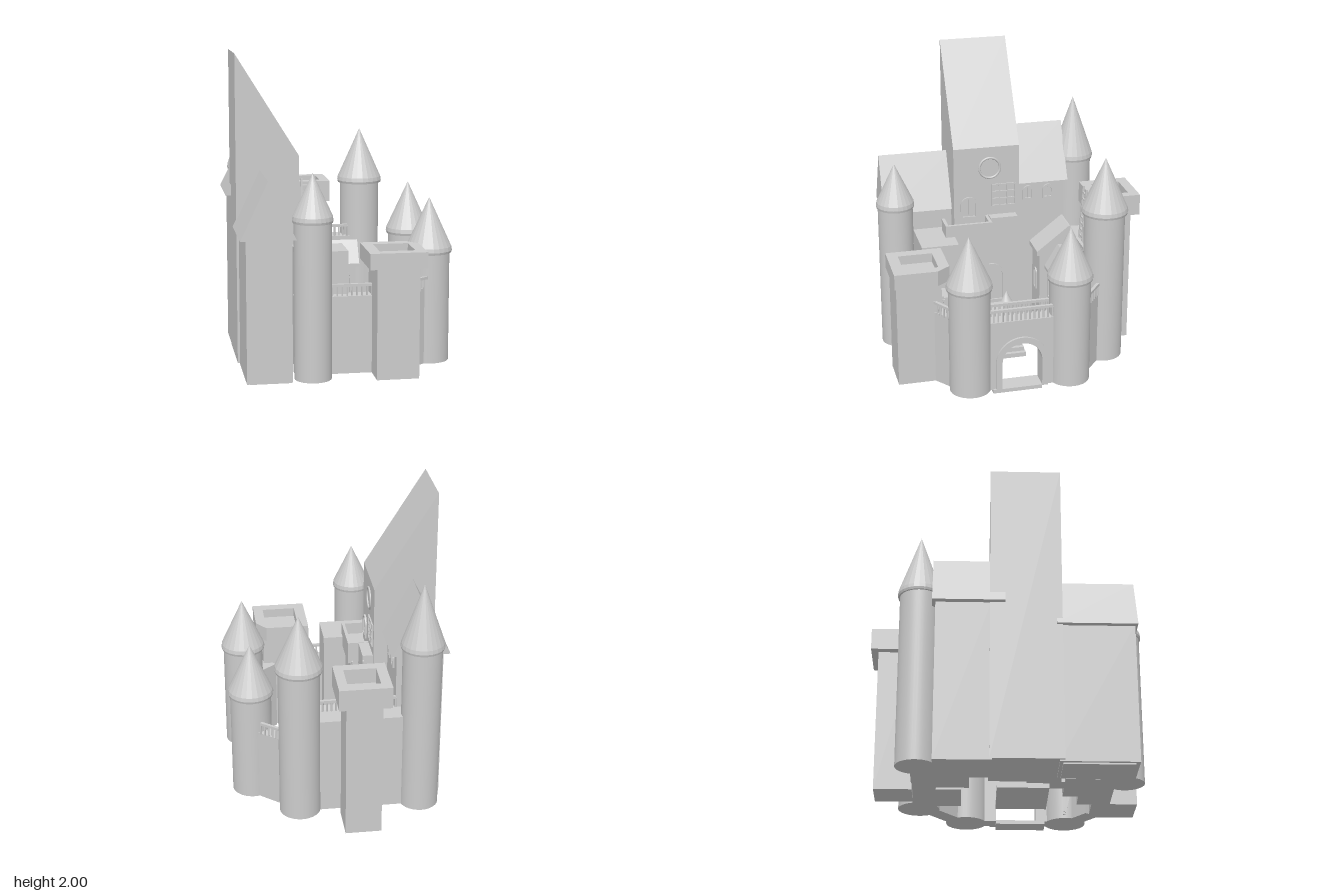
import * as THREE from 'three';

const mat = new THREE.MeshStandardMaterial({ color: 0xcccccc, side: THREE.DoubleSide });

export function createModel() {
  const castle = new THREE.Group();
  castle.name = 'castle';

  const add = (name, geo, parent = castle) => {
    const m = new THREE.Mesh(geo, mat);
    m.name = name;
    parent.add(m);
    return m;
  };
  // box from its limits
  const box = (name, x0, x1, y0, y1, z0, z1, parent) => {
    const m = add(name, new THREE.BoxGeometry(x1 - x0, y1 - y0, z1 - z0), parent);
    m.position.set((x0 + x1) / 2, (y0 + y1) / 2, (z0 + z1) / 2);
    return m;
  };
  const poly = pts => new THREE.Shape(pts.map(p => new THREE.Vector2(...p)));
  const extrude = (shape, depth) =>
    new THREE.ExtrudeGeometry(shape, { depth, bevelEnabled: false, curveSegments: 16 });
  // (x, y) outline pushed along z
  const alongZ = (name, pts, z0, z1) => {
    add(name, extrude(poly(pts), z1 - z0)).position.z = z0;
  };
  // (z, y) outline pushed along x
  const alongX = (name, shape, x0, x1) => {
    const g = extrude(shape, x1 - x0);
    g.rotateY(-Math.PI / 2);
    add(name, g).position.x = x1;
  };
  // (x, z) outline pushed upwards
  const upward = (name, shape, y0, y1) => {
    const g = extrude(shape, y1 - y0);
    g.rotateX(Math.PI / 2);
    add(name, g).position.y = y1;
  };
  const archShape = (c, w, y0, top) => {
    const s = new THREE.Shape();
    s.moveTo(c - w, y0);
    s.lineTo(c + w, y0);
    s.lineTo(c + w, top - w);
    s.absarc(c, top - w, w, 0, Math.PI, false);
    s.lineTo(c - w, y0);
    return s;
  };

  // Round towers with cone roofs
  const roundTower = (x, z, r, R, eave, top) => {
    const g = new THREE.Group();
    g.name = 'roundTower';
    const body = add('towerBody', new THREE.CylinderGeometry(r, r, eave - 0.03, 40), g);
    body.position.y = (eave + 0.05) / 2;
    const pts = [[0, eave - 0.01], [R * 0.97, eave - 0.01], [R, eave + 0.005], [R * 0.97, eave + 0.03], [0, top]];
    const cone = new THREE.LatheGeometry(pts.map(p => new THREE.Vector2(...p)), 24).toNonIndexed();
    cone.computeVertexNormals();
    add('towerRoof', cone, g);
    g.position.set(x, 0, z);
    castle.add(g);
  };
  roundTower(-0.505, -0.55, 0.125, 0.14, 1.17, 1.59);
  roundTower(0.27, -0.55, 0.132, 0.152, 1.06, 1.42);
  roundTower(0.55, -0.245, 0.132, 0.147, 0.75, 1.09);
  roundTower(0.55, 0.405, 0.132, 0.147, 0.75, 1.09);
  roundTower(-0.24, 0.73, 0.115, 0.126, 1.02, 1.31);

  // Square towers with a sunken parapet platform
  const parapet = (outer, [x0, x1, z0, z1], y0, y1) => {
    const s = poly(outer);
    s.holes.push(poly([[x0, z0], [x0, z1], [x1, z1], [x1, z0]]));
    upward('parapet', s, y0, y1);
    box('towerPlatform', x0, x1, y0, y0 + 0.04, z0, z1);
  };
  box('squareTowerBody', 0.137, 0.4, 0.04, 0.74, 0.55, 0.84);
  parapet([[0.09, 0.495], [0.38, 0.495], [0.445, 0.58], [0.445, 0.855], [0.09, 0.855]], [0.16, 0.38, 0.565, 0.785], 0.73, 0.83);
  box('squareTowerBody', -0.22, 0.01, 0, 0.93, -0.815, -0.58);
  parapet([[-0.27, -0.86], [0.06, -0.86], [0.06, -0.535], [-0.27, -0.535]], [-0.205, 0, -0.795, -0.6], 0.92, 1.06);

  // Great hall with a single-slope roof, and the two gabled wings
  alongZ('greatHall', [[-0.665, 0.04], [-0.268, 0.04], [-0.268, 1.36], [-0.665, 2]], -0.115, 0.33);
  box('frontWing', -0.65, -0.37, 0.03, 0.93, 0.3, 0.775);
  alongZ('frontWingRoof', [[-0.685, 0.915], [-0.345, 0.915], [-0.515, 1.275]], 0.295, 0.79);
  box('backWing', -0.66, -0.36, 0.03, 1.08, -0.45, -0.1);
  alongZ('backWingRoof', [[-0.7, 1.06], [-0.325, 1.06], [-0.515, 1.425]], -0.47, -0.02);
  box('wingPlinth', -0.63, -0.38, 0.02, 0.04, 0.32, 0.75);

  // Curtain walls with railings
  const span = (name, x0, z0, x1, z1, y0, y1, t) => {
    const m = add(name, new THREE.BoxGeometry(Math.hypot(x1 - x0, z1 - z0), y1 - y0, t));
    m.position.set((x0 + x1) / 2, (y0 + y1) / 2, (z0 + z1) / 2);
    m.rotation.y = -Math.atan2(z1 - z0, x1 - x0);
  };
  const railing = (x0, z0, x1, z1, y) => {
    span('handrail', x0, z0, x1, z1, y + 0.068, y + 0.085, 0.02);
    const n = Math.max(2, Math.round(Math.hypot(x1 - x0, z1 - z0) / 0.03));
    for (let i = 0; i <= n; i++) {
      const m = add('baluster', new THREE.CylinderGeometry(0.006, 0.006, 0.075, 8));
      m.position.set(x0 + (x1 - x0) * i / n, y + 0.035, z0 + (z1 - z0) * i / n);
    }
  };
  span('frontWall', -0.34, 0.615, 0.16, 0.615, 0.04, 0.53, 0.1);
  railing(-0.14, 0.65, 0.14, 0.65, 0.52);
  span('frontDiagonalWall', 0.35, 0.57, 0.52, 0.44, 0.04, 0.53, 0.11);
  railing(0.39, 0.6, 0.52, 0.52, 0.52);
  span('backWall', -0.48, -0.51, 0.25, -0.51, 0.04, 0.69, 0.15);
  railing(-0.36, -0.45, 0.17, -0.45, 0.685);
  span('backDiagonalWall', 0.28, -0.5, 0.54, -0.28, 0.04, 0.52, 0.11);
  railing(0.36, -0.5, 0.5, -0.39, 0.52);

  // Gatehouse with an arched passage
  const gate = poly([[-0.22, 0.04], [-0.05, 0.04], [-0.05, 0.225]]);
  gate.absarc(0.08, 0.225, 0.13, Math.PI, 0, true);
  for (const p of [[0.21, 0.04], [0.36, 0.04], [0.36, 0.51], [-0.22, 0.51]]) gate.lineTo(...p);
  alongX('gateWall', gate, 0.495, 0.605);
  const trim = poly([[-0.09, 0.04], [-0.05, 0.04], [-0.05, 0.225]]);
  trim.absarc(0.08, 0.225, 0.13, Math.PI, 0, true);
  trim.lineTo(0.21, 0.04);
  trim.lineTo(0.25, 0.04);
  trim.lineTo(0.25, 0.225);
  trim.absarc(0.08, 0.225, 0.17, 0, Math.PI, false);
  alongX('gateArchTrim', trim, 0.6, 0.62);
  box('gateThreshold', 0.49, 0.62, 0.02, 0.045, -0.05, 0.27);
  for (const x of [0.505, 0.595]) railing(x, -0.12, x, 0.29, 0.51);
  const lamp = add('gateLamp', new THREE.ConeGeometry(0.025, 0.06, 4));
  lamp.position.set(0.48, 0.45, 0.1);

  // Courtyard steps on three sides, with two lamp posts
  for (let i = 0; i < 8; i++) {
    box('step', -0.24, 0.16 - i * 0.026, 0.01 + i * 0.028, 0.04 + i * 0.028, -0.06 + i * 0.008, 0.26 - i * 0.008);
  }
  for (const z of [0.02, 0.225]) {
    const post = add('lampPost', new THREE.CylinderGeometry(0.012, 0.016, 0.3, 12));
    post.position.set(-0.07, 0.19, z);
    const cap = add('lampCap', new THREE.ConeGeometry(0.037, 0.07, 16));
    cap.position.set(-0.07, 0.36, z);
  }

  // Courtyard buildings
  box('frontHouse', -0.32, 0, 0.04, 0.8, 0.355, 0.6);
  box('sideWalkway', 0, 0.15, 0.04, 0.5, 0.455, 0.57);
  box('sideBalconyBase', -0.27, -0.15, 0.04, 0.74, 0.12, 0.4);
  box('sideBalcony', -0.27, -0.13, 0.73, 0.8, 0.1, 0.415);
  box('balconyParapet', -0.15, -0.13, 0.8, 0.88, 0.1, 0.415);
  for (const z of [0.1, 0.395]) box('balconyParapet', -0.27, -0.15, 0.8, 0.88, z, z + 0.02);
  box('middleBalcony', -0.27, -0.2, 0.73, 0.88, -0.09, 0.095);
  box('upperHouse', -0.34, -0.145, 0.04, 0.63, -0.45, -0.23);
  alongX('upperHouseRoof', poly([[-0.44, 0.6], [-0.21, 0.6], [-0.21, 0.63], [-0.43, 0.8], [-0.44, 0.8]]), -0.34, -0.135);
  box('lowerHouse', -0.11, 0.2, 0.04, 0.55, -0.45, -0.28);
  alongX('lowerHouseRoof', poly([[-0.45, 0.51], [-0.26, 0.51], [-0.26, 0.53], [-0.35, 0.68], [-0.45, 0.66]]), -0.125, 0.222);

  // Windows and doors facing the courtyard
  const archWindow = (x, z, w, y0, top) => {
    const s = archShape(z, w, y0, top);
    s.holes.push(archShape(z, w - 0.012, y0 + 0.012, top - 0.012));
    alongX('archedWindowFrame', s, x - 0.005, x + 0.012);
    box('windowBar', x - 0.004, x + 0.006, y0, top, z - 0.004, z + 0.004);
  };
  archWindow(-0.268, 0.23, 0.055, 0.87, 1.02);
  archWindow(-0.36, -0.2, 0.035, 0.93, 1.03);
  archWindow(-0.36, -0.34, 0.035, 0.93, 1.03);
  archWindow(-0.268, 0.08, 0.09, 0.24, 0.52);
  for (const x of [-0.24, -0.05, 0.05, 0.14]) {
    const g = archShape(0, 0.03, 0.32, 0.47);
    g.holes.push(archShape(0, 0.02, 0.33, 0.46));
    add('houseWindow', extrude(g, 0.012)).position.set(x, 0, x < -0.2 ? -0.232 : -0.282);
  }
  const rose = add('roundWindow', new THREE.TorusGeometry(0.07, 0.008, 8, 32));
  rose.rotation.y = Math.PI / 2;
  rose.position.set(-0.266, 1.215, 0.085);
  for (let i = 0; i < 4; i++) {
    const a = -0.09 + i * 0.0527, b = 0.94 + i * 0.05;
    box('squareWindowBar', -0.27, -0.258, 0.94, 1.1, a, a + 0.008);
    box('squareWindowBar', -0.27, -0.258, b, b + 0.008, -0.09, 0.075);
  }

  // Ladders
  const ladder = (x, w, y0, z0, y1, z1) => {
    const g = new THREE.Group(), len = Math.hypot(y1 - y0, z1 - z0), n = Math.round(len / 0.045);
    g.name = 'ladder';
    for (const s of [-1, 1]) box('ladderSide', s * w - 0.005, s * w + 0.005, 0, len, -0.008, 0.008, g);
    for (let i = 1; i < n; i++) box('ladderRung', -w, w, i * len / n - 0.005, i * len / n + 0.005, -0.006, 0.006, g);
    g.position.set(x, y0, z0);
    g.rotation.x = Math.atan2(z1 - z0, y1 - y0);
    castle.add(g);
  };
  ladder(0.25, 0.027, 0.015, 0.385, 0.55, 0.515);
  ladder(-0.1, 0.035, 0.69, -0.505, 1.08, -0.53);

  return castle;
}
